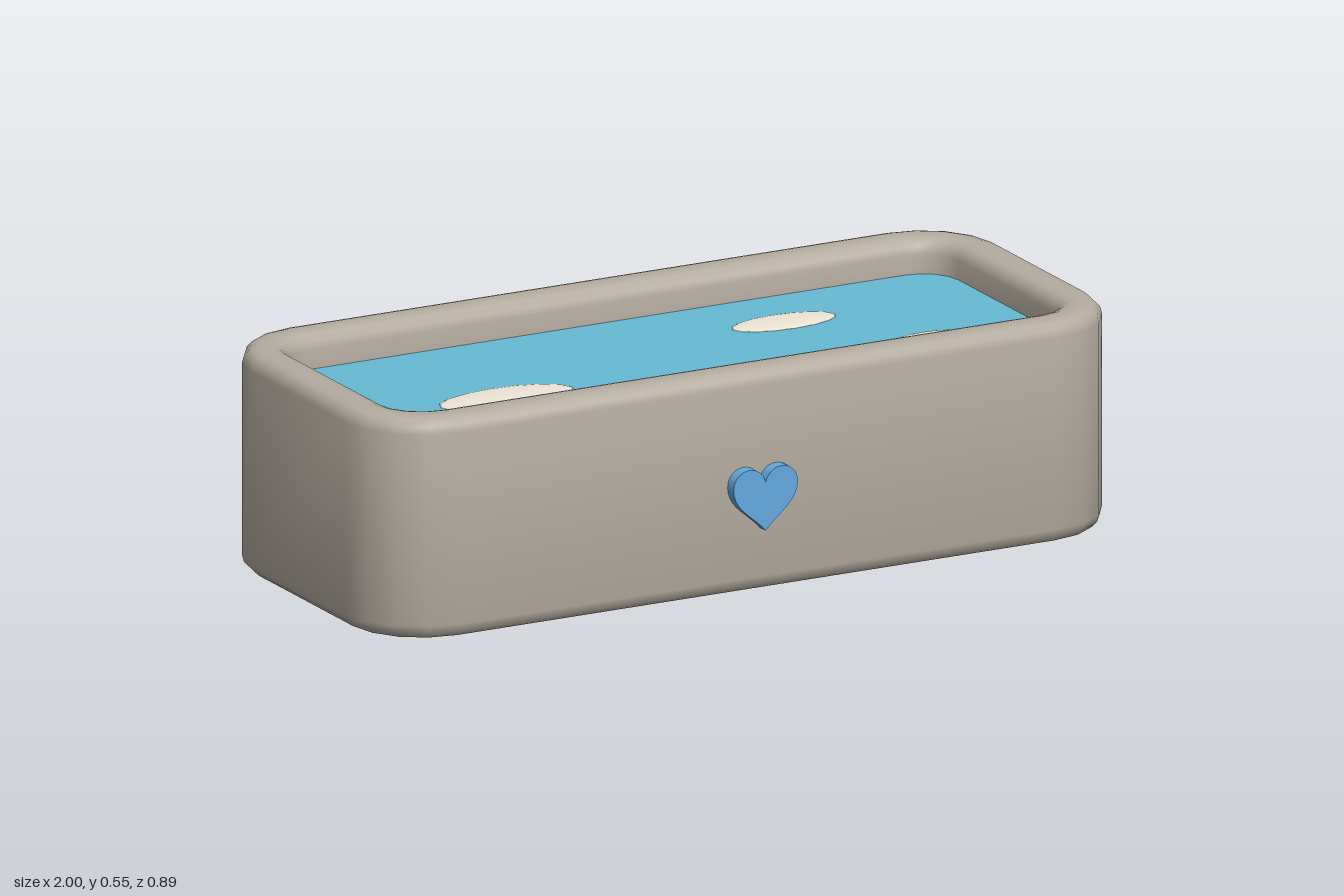
import * as THREE from 'three';
import { toCreasedNormals } from 'three/addons/utils/BufferGeometryUtils.js';

const HALF_X = 1, HALF_Z = 0.432, CENTRE_Z = -0.015, RADIUS = 0.2, CORNER_STEPS = 4;

// Rounded rectangle in plan, moved inwards by inset
function outline(inset) {
  const r = RADIUS - inset, points = [];
  for (let corner = 0; corner < 4; corner++) {
    const sx = corner === 0 || corner === 3 ? 1 : -1;
    const sz = corner < 2 ? 1 : -1;
    for (let i = 0; i <= CORNER_STEPS; i++) {
      const a = (corner + i / CORNER_STEPS) * Math.PI / 2;
      points.push(new THREE.Vector2(
        sx * (HALF_X - RADIUS) + r * Math.cos(a),
        sz * (HALF_Z - RADIUS) + r * Math.sin(a)));
    }
  }
  return points;
}

// Sweeps a profile of [inset, height] pairs around the outline
function sweep(profile) {
  const positions = [], index = [];
  const n = outline(0).length;
  for (const [inset, y] of profile) {
    for (const p of outline(inset)) positions.push(p.x, y, p.y);
  }
  for (let j = 0; j < profile.length - 1; j++) {
    for (let i = 0; i < n; i++) {
      const a = j * n + i, b = j * n + (i + 1) % n;
      index.push(a, a + n, b, b, a + n, b + n);
    }
  }
  const geometry = new THREE.BufferGeometry();
  geometry.setAttribute('position', new THREE.Float32BufferAttribute(positions, 3));
  geometry.setIndex(index);
  return toCreasedNormals(geometry, 0.8);
}

export function createModel() {
  const model = new THREE.Group();
  const stone = new THREE.MeshStandardMaterial({ color: 0xb5aca0 });
  const blue = new THREE.MeshStandardMaterial({ color: 0x62a8e0 });
  const water = new THREE.MeshStandardMaterial({ color: 0x66bbd4 });
  const cream = new THREE.MeshStandardMaterial({ color: 0xeee6d8 });

  function add(name, geometry, material, x = 0, y = 0, z = 0) {
    const mesh = new THREE.Mesh(geometry, material);
    mesh.name = name;
    mesh.position.set(x, y, z);
    model.add(mesh);
    return mesh;
  }

  // Tub wall: rounded at the foot, over the rim and into the opening
  const H = 0.545, B = 0.037, INNER = 0.107;
  const profile = [];
  const round = (inset, y, from) => {
    for (let i = 0; i <= 3; i++) {
      const a = from - i * Math.PI / 6;
      profile.push([inset - B * Math.cos(a), y + B * Math.sin(a)]);
    }
  };
  for (let i = 0; i <= 3; i++) {
    const a = i * Math.PI / 6;
    profile.push([B - B * Math.sin(a), B - B * Math.cos(a)]);
  }
  for (let i = 0; i <= 3; i++) {
    const a = i * Math.PI / 6;
    profile.push([B - B * Math.cos(a), H - B + B * Math.sin(a)]);
  }
  for (let i = 0; i <= 3; i++) {
    const a = i * Math.PI / 6;
    profile.push([INNER - B + B * Math.sin(a), H - B + B * Math.cos(a)]);
  }
  profile.push([INNER, 0.44]);
  add('tubWall', sweep(profile), stone, 0, 0, CENTRE_Z);

  // Flat underside and water surface
  const base = new THREE.ShapeGeometry(new THREE.Shape(outline(B))).rotateX(Math.PI / 2);
  add('tubBase', base, stone, 0, 0, CENTRE_Z);
  const surface = new THREE.ShapeGeometry(new THREE.Shape(outline(INNER))).rotateX(-Math.PI / 2);
  add('water', surface, water, 0, 0.46, CENTRE_Z);

  // Thin foam patches lying on the water
  const patches = [[-0.495, 0.08, 0.177, 0.078], [0.37, -0.145, 0.137, 0.059], [0.615, 0.13, 0.099, 0.043]];
  for (const [x, z, rx, rz] of patches) {
    add('foamPatch', new THREE.SphereGeometry(1, 16, 12), cream, x, 0.46, z).scale.set(rx, 0.006, rz);
  }

  // Heart on the front wall
  const heart = new THREE.Shape();
  heart.moveTo(0, 0.158);
  heart.bezierCurveTo(0.03, 0.195, 0.086, 0.218, 0.086, 0.268);
  heart.bezierCurveTo(0.086, 0.323, 0.012, 0.328, 0, 0.278);
  heart.bezierCurveTo(-0.012, 0.328, -0.086, 0.323, -0.086, 0.268);
  heart.bezierCurveTo(-0.086, 0.218, -0.03, 0.195, 0, 0.158);
  const heartGeometry = new THREE.ExtrudeGeometry(heart, { depth: 0.05, bevelEnabled: false, curveSegments: 10 });
  add('heart', toCreasedNormals(heartGeometry, 0.7), blue, 0, 0, 0.397);

  return model;
}
